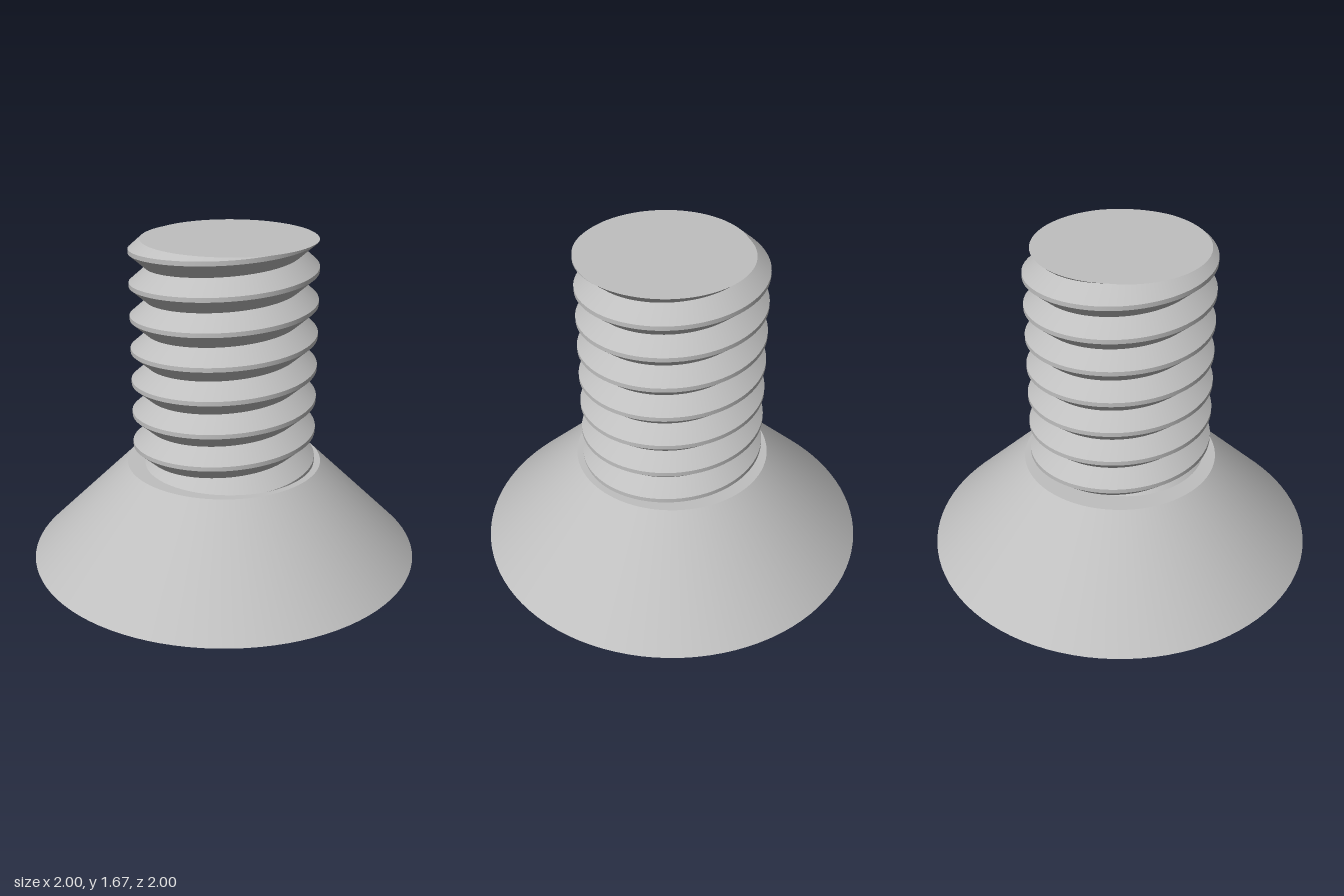
import * as THREE from 'three';

const HEAD_H = 0.5, HEAD_R = 1, NECK_R = 0.5;
const TOP = 1.667, PITCH = 1 / 6;
const CREST_R = 0.467, ROOT_R = 0.385, FLAT = 0.011; // FLAT: half height of the crest
const CREST_Y = 0.66 - 2 * PITCH;                    // crest height at angle 0, first turn
const SOCKET_R = 0.41, SOCKET_D = 0.267;
const SEGS = 96, TURNS = 10;

const crestY = (a) => CREST_Y + (PITCH * a) / (2 * Math.PI);

// Thread radius at a given angle and height
function radiusAt(a, y) {
  const t = (y - crestY(a)) / PITCH;
  const d = Math.abs(t - Math.round(t)) * PITCH;
  const k = Math.max(0, (d - FLAT) / (PITCH / 2 - FLAT));
  return CREST_R + (ROOT_R - CREST_R) * k;
}

function pointAt(a, y) {
  const r = radiusAt(a, y);
  return [r * Math.cos(a), y, -r * Math.sin(a)];
}

// One helical band between two offsets from the crest, trimmed at both ends of the shank
function helixBand(lo, hi) {
  const pos = [], index = [];
  const n = SEGS * TURNS;
  for (let i = 0; i <= n; i++) {
    const a = (i / SEGS) * 2 * Math.PI;
    for (const offset of [lo, hi]) {
      const y = THREE.MathUtils.clamp(crestY(a) + offset, HEAD_H, TOP);
      pos.push(...pointAt(a, y));
    }
    const s = i * 2;
    const trimmed = pos[s * 3 + 1] === pos[s * 3 + 4];
    const before = i > 0 && pos[(s - 2) * 3 + 1] === pos[(s - 1) * 3 + 1];
    if (i > 0 && !(trimmed && before)) index.push(s - 2, s, s + 1, s - 2, s + 1, s - 1);
  }
  const g = new THREE.BufferGeometry();
  g.setAttribute('position', new THREE.Float32BufferAttribute(pos, 3));
  g.setIndex(index);
  g.computeVertexNormals();
  return g;
}

// Flat end of the shank, following the cut thread
function endCap() {
  const pos = [0, TOP, 0], index = [];
  for (let i = 0; i <= SEGS; i++) {
    pos.push(...pointAt((i / SEGS) * 2 * Math.PI, TOP));
    if (i > 0) index.push(0, i, i + 1);
  }
  const g = new THREE.BufferGeometry();
  g.setAttribute('position', new THREE.Float32BufferAttribute(pos, 3));
  g.setIndex(index);
  g.computeVertexNormals();
  return g;
}

export function createModel() {
  const model = new THREE.Group();
  model.name = 'countersunkScrew';
  const steel = new THREE.MeshStandardMaterial({ color: 0xbfbfbf });
  steel.name = 'steelGrey';

  const add = (parent, name, geometry) => {
    const mesh = new THREE.Mesh(geometry, steel);
    mesh.name = name;
    parent.add(mesh);
  };
  const group = (name) => {
    const g = new THREE.Group();
    g.name = name;
    model.add(g);
    return g;
  };

  // Conical head with its top ledge
  const head = group('head');
  add(head, 'headCone', new THREE.CylinderGeometry(NECK_R, HEAD_R, HEAD_H, SEGS, 1, true)
    .translate(0, HEAD_H / 2, 0));
  add(head, 'headLedge', new THREE.CircleGeometry(NECK_R, SEGS)
    .rotateX(-Math.PI / 2).translate(0, HEAD_H, 0));

  // Drive face with a hexagonal opening
  const face = new THREE.Shape().absarc(0, 0, HEAD_R, 0, 2 * Math.PI, false);
  const corners = [];
  for (let i = 0; i < 6; i++) {
    const a = (i * Math.PI) / 3;
    corners.push(new THREE.Vector2(SOCKET_R * Math.cos(a), SOCKET_R * Math.sin(a)));
  }
  face.holes.push(new THREE.Path(corners));
  add(head, 'driveFace', new THREE.ShapeGeometry(face, SEGS).rotateX(Math.PI / 2));

  // Socket walls, mirrored so they face inward, and the socket floor
  const walls = new THREE.CylinderGeometry(SOCKET_R, SOCKET_R, SOCKET_D, 6, 1, true, Math.PI / 6)
    .scale(-1, 1, 1).translate(0, SOCKET_D / 2, 0).toNonIndexed();
  walls.computeVertexNormals();
  add(head, 'socketWalls', walls);
  add(head, 'socketFloor', new THREE.CircleGeometry(SOCKET_R, 6)
    .rotateX(Math.PI / 2).translate(0, SOCKET_D, 0));

  // Threaded shank: lower flank, crest and upper flank wind up together
  const shank = group('shank');
  add(shank, 'threadLowerFlank', helixBand(-PITCH / 2, -FLAT));
  add(shank, 'threadCrest', helixBand(-FLAT, FLAT));
  add(shank, 'threadUpperFlank', helixBand(FLAT, PITCH / 2));
  add(shank, 'shankEnd', endCap());

  return model;
}
